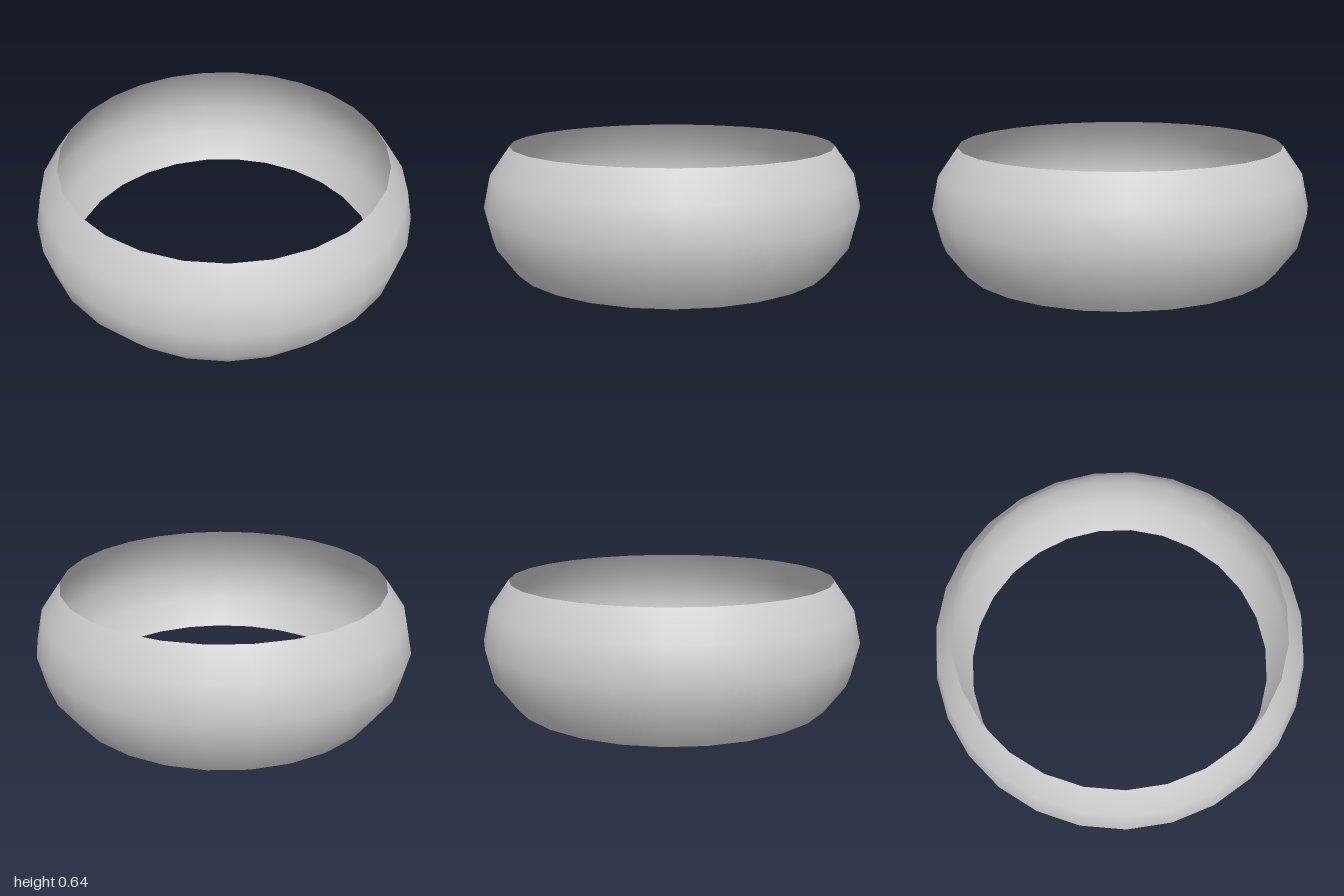
import * as THREE from 'three';

export function createModel() {
  const group = new THREE.Group();
  group.name = 'ring';

  // Bulging wall profile, bottom to top: [radius, height]
  const profile = [[0.858, 0], [0.963, 0.147], [1.0017, 0.32], [0.963, 0.493], [0.858, 0.64]]
    .map(([r, y]) => new THREE.Vector2(r, y));

  // Open single-walled band of 27 sides, one corner pointing to the back
  const geometry = new THREE.LatheGeometry(profile, 27, Math.PI);
  const material = new THREE.MeshStandardMaterial({ color: 0xcccccc, side: THREE.DoubleSide });
  const band = new THREE.Mesh(geometry, material);
  band.name = 'band';
  band.position.z = 0.0034; // the odd side count puts the outline slightly off centre
  group.add(band);

  return group;
}
